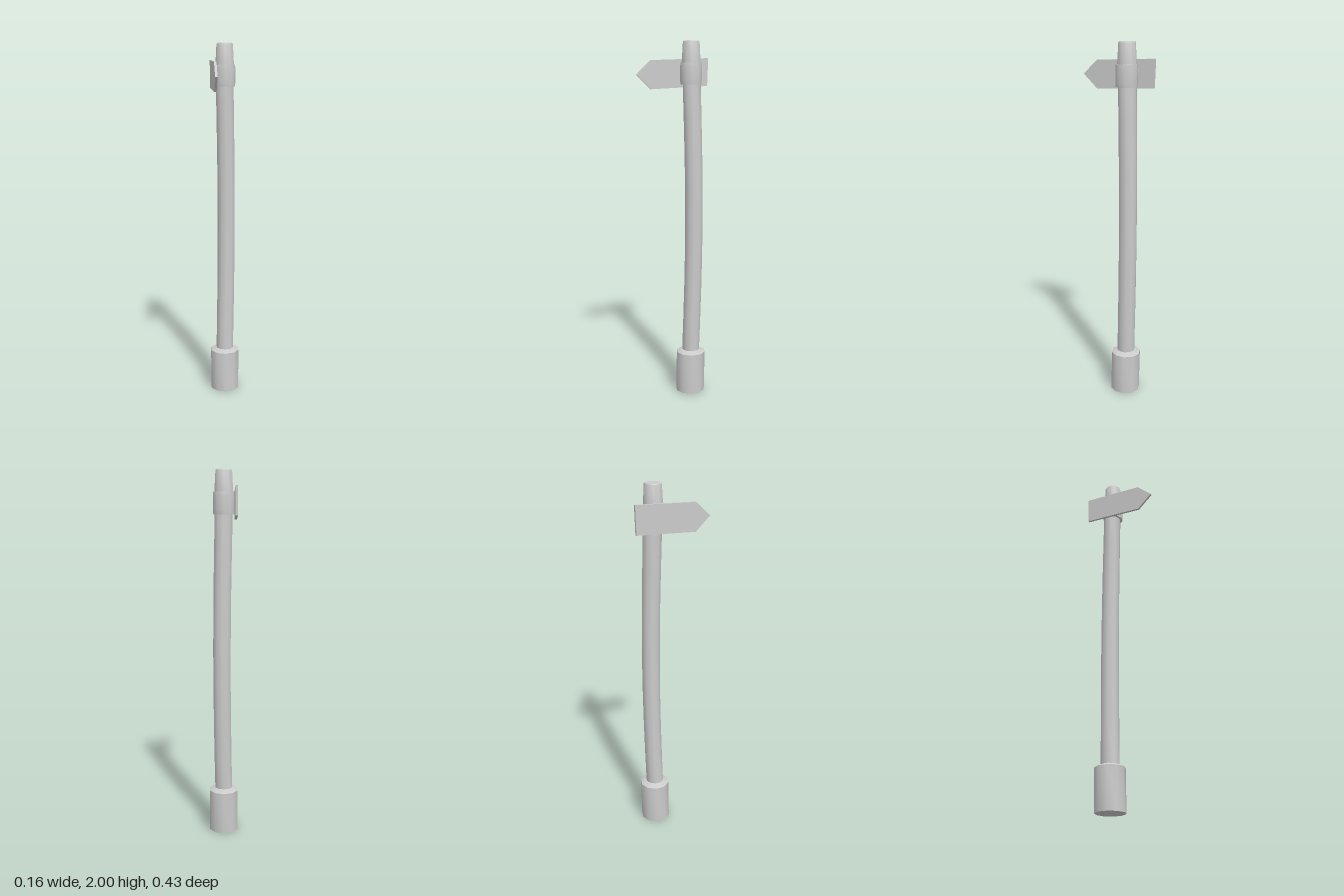
import * as THREE from 'three';
import { toCreasedNormals } from 'three/addons/utils/BufferGeometryUtils.js';

const material = new THREE.MeshStandardMaterial({ color: 0xcccccc });

// Ten-sided turned part; centre(y) gives the [x, z] of its axis at each height.
function turned(name, profile, centre) {
  const geometry = new THREE.LatheGeometry(profile.map(([r, y]) => new THREE.Vector2(r, y)), 10);
  const p = geometry.attributes.position;
  for (let i = 0; i < p.count; i++) {
    const [x, z] = centre(p.getY(i));
    p.setXYZ(i, p.getX(i) + x, p.getY(i), p.getZ(i) + z);
  }
  const mesh = new THREE.Mesh(toCreasedNormals(geometry, 0.75), material);
  mesh.name = name;
  return mesh;
}

export function createModel() {
  const group = new THREE.Group();
  group.name = 'signpost';

  // Thick foot with a chamfered shoulder, leaning back a little
  group.add(turned('base',
    [[0, 0], [0.083, 0], [0.083, 0.235], [0.05, 0.25], [0, 0.25]],
    (y) => [0, -0.08 - 0.018 * y]));

  // Pole bowed gently backwards and to the side
  const pole = [];
  for (let i = 0; i <= 8; i++) pole.push([0.05, 0.24 + i * 0.195]);
  group.add(turned('pole', pole, (y) => {
    const bow = Math.sin(Math.PI * THREE.MathUtils.clamp((y - 0.24) / 1.55, 0, 1));
    return [0.01 * bow, -0.083 - 0.013 * bow];
  }));

  // Collar that holds the sign, and the tapered pole end above it
  group.add(turned('collar',
    [[0, 1.768], [0.058, 1.768], [0.06, 1.79], [0.06, 1.865], [0.058, 1.885], [0, 1.885]],
    () => [0, -0.079]));
  group.add(turned('poleTop',
    [[0.053, 1.87], [0.046, 1.995], [0.043, 2], [0, 2]],
    () => [0, -0.08]));

  // Thin arrow board, outlined in z and y, pointing forward
  const outline = [[0.213, 1.82], [0.13, 1.897], [-0.213, 1.912], [-0.208, 1.76], [0.13, 1.743]];
  const shape = new THREE.Shape(outline.map(([z, y]) => new THREE.Vector2(-z, y)));
  const board = new THREE.ExtrudeGeometry(shape, { depth: 0.013, bevelEnabled: false });
  board.rotateY(Math.PI / 2).translate(-0.073, 0, 0);
  const sign = new THREE.Mesh(board, material);
  sign.name = 'arrowBoard';
  group.add(sign);

  return group;
}
